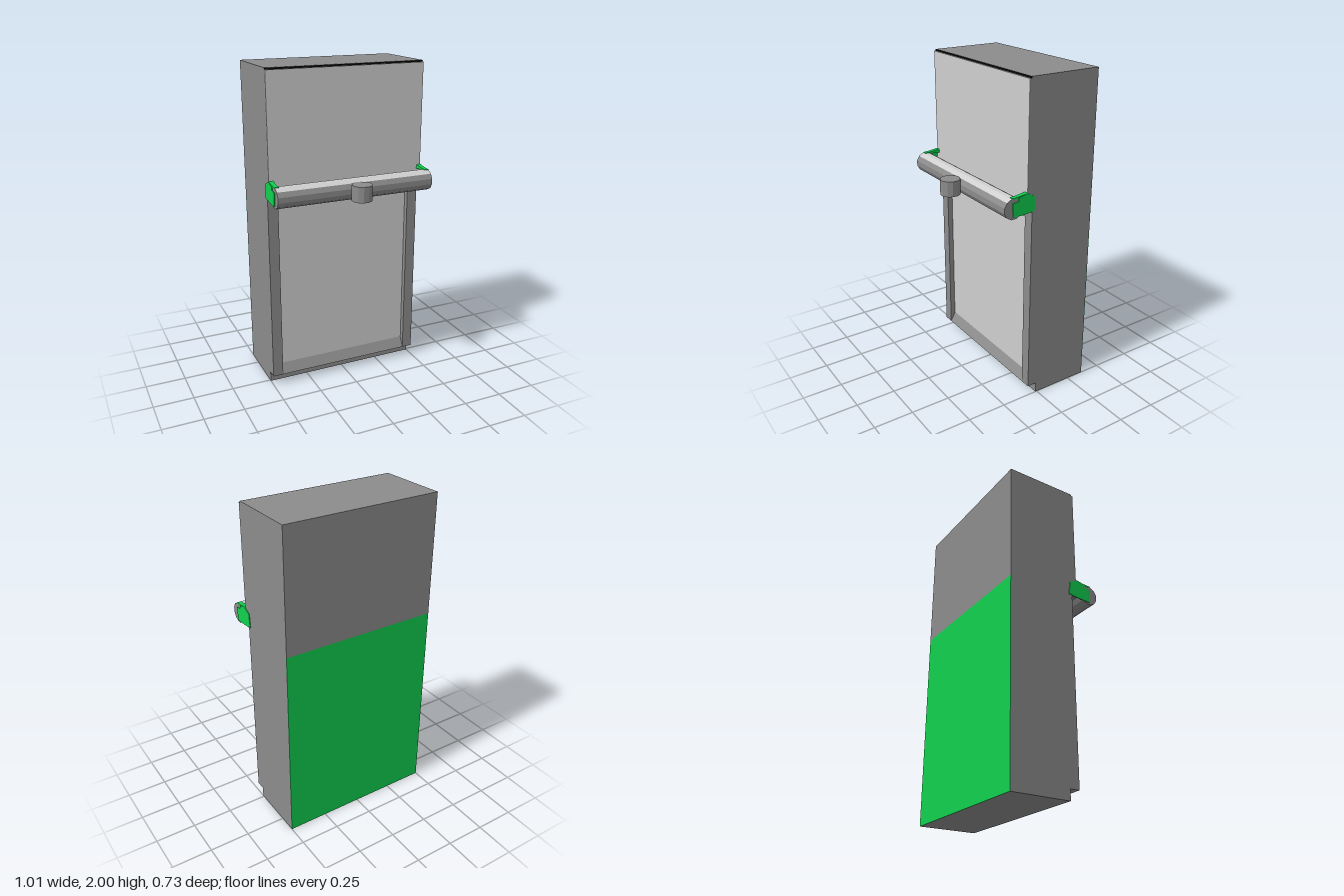
import * as THREE from 'three';

const material = (name, color) => {
  const m = new THREE.MeshStandardMaterial({ color });
  m.name = name;
  return m;
};

export function createModel() {
  const group = new THREE.Group();
  const gray = material('mid gray', 0x8c8c8c);
  const light = material('light gray', 0xcfcfcf);
  const green = material('green', 0x10d04e);
  const black = material('black', 0x080808);

  const add = (name, geometry, mat) => {
    // split the corners so that every facet is flat
    const g = geometry.index ? geometry.toNonIndexed() : geometry;
    g.computeVertexNormals();
    const mesh = new THREE.Mesh(g, mat);
    mesh.name = name;
    group.add(mesh);
    return mesh;
  };

  // box given by its limits on each axis
  const box = (name, [x0, x1], [y0, y1], [z0, z1], mat) => add(name,
    new THREE.BoxGeometry(x1 - x0, y1 - y0, z1 - z0)
      .translate((x0 + x1) / 2, (y0 + y1) / 2, (z0 + z1) / 2), mat);

  // side profile of [z, y] points, extruded between x0 and x1
  const profile = (name, points, x0, x1, mat) => add(name,
    new THREE.ExtrudeGeometry(
      new THREE.Shape(points.map(([z, y]) => new THREE.Vector2(z, y))),
      { depth: x1 - x0, bevelEnabled: false }
    ).rotateY(-Math.PI / 2).translate(x1, 0, 0), mat);

  // cabinet with toe step, sloped sill, recess and upper overhang
  profile('cabinet', [
    [-0.362, 0], [0.01, 0], [0.01, 0.065], [0.07, 0.065], [0.035, 0.13],
    [0.035, 1.19], [0.07, 1.19], [0.07, 1.24], [0.1, 1.24], [0.1, 1.99],
    [0.088, 1.99], [0.088, 2], [-0.362, 2],
  ], -0.5, 0.5, gray);

  // coloured panels
  box('upperPanel', [-0.5, 0.5], [1.24, 1.99], [0.1, 0.103], light);
  box('recessedPanel', [-0.435, 0.435], [0.13, 1.19], [0.035, 0.037], light);
  box('topTrim', [-0.5, 0.5], [1.99, 1.999], [0.088, 0.092], black);
  box('backLowerPanel', [-0.5, 0.5], [0, 1.243], [-0.365, -0.362], green);
  box('backUpperPanel', [-0.5, 0.5], [1.243, 2], [-0.365, -0.362], gray);

  // twelve-sided cross bar with a light strip along its upper facets
  const rad = Math.PI / 180;
  const bar = (r, length, start, sweep, segments, open) =>
    new THREE.CylinderGeometry(r, r, length, segments, 1, open, start * rad, sweep * rad)
      .rotateZ(Math.PI / 2).translate(0, 1.285, 0.195);
  add('crossBar', bar(0.063, 1, 15, 360, 12, false), gray);
  add('crossBarTop', bar(0.064, 1, 45, 90, 3, true), light);

  // knob in front of the bar
  add('knob', new THREE.CylinderGeometry(0.062, 0.062, 0.095, 12, 1, false, 15 * rad)
    .translate(0, 1.288, 0.302), gray);

  // mirrored frame posts and bar brackets
  for (const s of [-1, 1]) {
    const side = s < 0 ? 'right' : 'left';
    const span = (a, b) => (s < 0 ? [-b, -a] : [a, b]);
    box(side + 'Post', span(0.435, 0.5), [0.065, 1.19], [0.035, 0.07], gray);
    profile(side + 'BracketPlate', [
      [0.2, 1.235], [0.205, 1.32], [0.165, 1.325], [0.165, 1.345],
      [0.11, 1.36], [0.055, 1.335], [0.047, 1.25], [0.11, 1.24],
    ], ...span(0.5, 0.505), green);
    profile(side + 'BracketTab', [
      [0.1, 1.335], [0.205, 1.343], [0.205, 1.35], [0.165, 1.352],
      [0.11, 1.36], [0.1, 1.36],
    ], ...span(0.475, 0.502), green);
  }
  return group;
}
